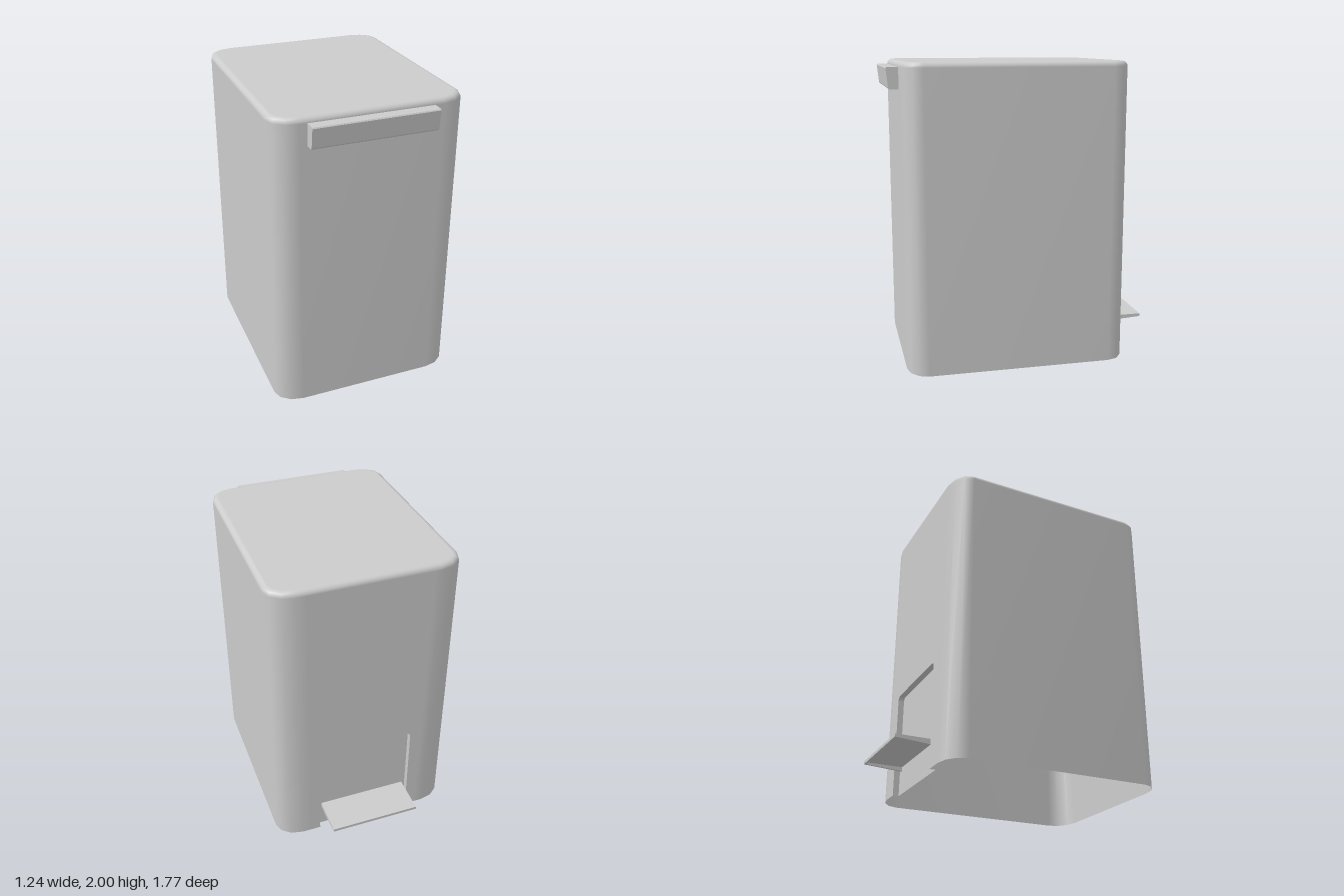
import * as THREE from 'three';

const W = 0.622, FRONT = 0.807, BACK = -0.667, HEIGHT = 2;
const RX = 0.165, RZ = 0.13, EDGE = 0.035;   // corner radii and top edge rounding
const PANEL = 0.4;                           // half width of the flat back panel
const NOTCH_W = 0.33, NOTCH_H = 0.7, NOTCH_D = 0.04;

const grey = new THREE.MeshStandardMaterial({ color: 0xcccccc, side: THREE.DoubleSide });

function part(name, geometry) {
  const mesh = new THREE.Mesh(geometry, grey);
  mesh.name = name;
  return mesh;
}

// Skins equal-length rings of Vector3; skip(ring, column) leaves a quad out
function loft(rings, closed, skip = () => false) {
  const n = rings[0].length, index = [];
  for (let r = 0; r < rings.length - 1; r++) {
    for (let i = 0; i < (closed ? n : n - 1); i++) {
      if (skip(r, i)) continue;
      const j = (i + 1) % n, a = r * n + i, b = r * n + j;
      index.push(a, a + n, b, b, a + n, b + n);
    }
  }
  const geometry = new THREE.BufferGeometry().setFromPoints(rings.flat());
  geometry.setIndex(index);
  geometry.computeVertexNormals();
  return geometry;
}

// Rounded plan outline as [x, z], starting and ending at the back panel's sides
function outline(inset) {
  const points = [[PANEL, BACK + inset]];
  const corners = [[1, -1], [1, 1], [-1, 1], [-1, -1]];
  corners.forEach(([sx, sz], c) => {
    const cx = sx * (W - RX);
    const cz = sz > 0 ? FRONT - RZ : BACK + RZ;
    for (let k = 0; k <= 3; k++) {
      const t = (c - 1 + k / 3) * Math.PI / 2;
      points.push([cx + Math.cos(t) * (RX - inset), cz + Math.sin(t) * (RZ - inset)]);
    }
  });
  points.push([-PANEL, BACK + inset]);
  return points;
}

// Notch outline from bottom left, over the rounded top, to bottom right
function notchPoints() {
  const r = 0.03, points = [[-NOTCH_W, 0]];
  for (const s of [-1, 1]) {
    for (let k = 0; k <= 4; k++) {
      const t = (s < 0 ? Math.PI : Math.PI / 2) - k / 4 * Math.PI / 2;
      points.push([s * (NOTCH_W - r) + Math.cos(t) * r, NOTCH_H - r + Math.sin(t) * r]);
    }
  }
  points.push([NOTCH_W, 0]);
  return points.map(([x, y]) => new THREE.Vector2(x, y));
}

// Extrudes a [z, y] side profile across x, centred at cx
function acrossX(profile, width, cx = 0) {
  const shape = new THREE.Shape(profile.map(([z, y]) => new THREE.Vector2(z, y)));
  return new THREE.ExtrudeGeometry(shape, { depth: width, bevelEnabled: false })
    .rotateY(-Math.PI / 2).translate(cx + width / 2, 0, 0);
}

function createBody() {
  const body = new THREE.Group();
  body.name = 'body';

  // Wall and rounded top edge, open underneath
  const levels = [[0, 0], [HEIGHT - EDGE, 0]];
  for (let k = 1; k <= 4; k++) {
    const t = k / 4 * Math.PI / 2;
    levels.push([HEIGHT - EDGE + EDGE * Math.sin(t), EDGE * (1 - Math.cos(t))]);
  }
  const rings = levels.map(([y, inset]) =>
    outline(inset).map(([x, z]) => new THREE.Vector3(x, y, z)));
  const last = rings[0].length - 1;
  body.add(part('wall', loft(rings, true, (r, i) => r === 0 && i === last)));

  // Flat lid
  const lid = new THREE.Shape(outline(EDGE).map(([x, z]) => new THREE.Vector2(x, -z)));
  body.add(part('lidTop', new THREE.ShapeGeometry(lid).rotateX(-Math.PI / 2).translate(0, HEIGHT, 0)));

  // Back panel cut around the pedal recess
  const notch = notchPoints();
  const panel = new THREE.Shape([
    ...notch,
    new THREE.Vector2(PANEL, 0),
    new THREE.Vector2(PANEL, HEIGHT - EDGE),
    new THREE.Vector2(-PANEL, HEIGHT - EDGE),
    new THREE.Vector2(-PANEL, 0),
  ]);
  body.add(part('backPanel', new THREE.ShapeGeometry(panel).rotateY(Math.PI).translate(0, 0, BACK)));

  // Recess sides and its inner face
  const sides = [BACK, BACK + NOTCH_D].map(z => notch.map(p => new THREE.Vector3(p.x, p.y, z)));
  body.add(part('recessSides', loft(sides, false)));
  body.add(part('recessFace', new THREE.ShapeGeometry(new THREE.Shape(notch))
    .rotateY(Math.PI).translate(0, 0, BACK + NOTCH_D)));
  return body;
}

function createPedal() {
  const pedal = new THREE.Group();
  pedal.name = 'pedal';
  const root = BACK + NOTCH_D, tip = -0.885, top = 0.197, half = 0.306, wall = 0.014;

  // Thin tread with tapered flanges and a lip, hollow underneath
  pedal.add(part('tread', acrossX(
    [[tip, top - 0.008], [root, top - 0.008], [root, top], [tip, top]], half * 2)));
  for (const s of [-1, 1]) {
    pedal.add(part('flange', acrossX(
      [[tip, 0.177], [root, 0.161], [root, top - 0.008], [tip, top - 0.008]], wall, s * (half - wall / 2))));
  }
  pedal.add(part('lip', acrossX(
    [[tip, 0.177], [tip + wall, 0.177], [tip + wall, top - 0.008], [tip, top - 0.008]], (half - wall) * 2)));
  return pedal;
}

export function createModel() {
  const model = new THREE.Group();
  model.name = 'pedalBin';
  model.add(createBody(), createPedal());

  // Lid grip, slightly undercut towards the bottom
  model.add(part('lidHandle', acrossX([
    [FRONT - 0.005, 1.826], [0.862, 1.826], [0.868, 1.83], [0.872, 1.838],
    [0.885, 1.958], [0.88, 1.965], [FRONT - 0.005, 1.965],
  ], 0.805, -0.008)));
  return model;
}
